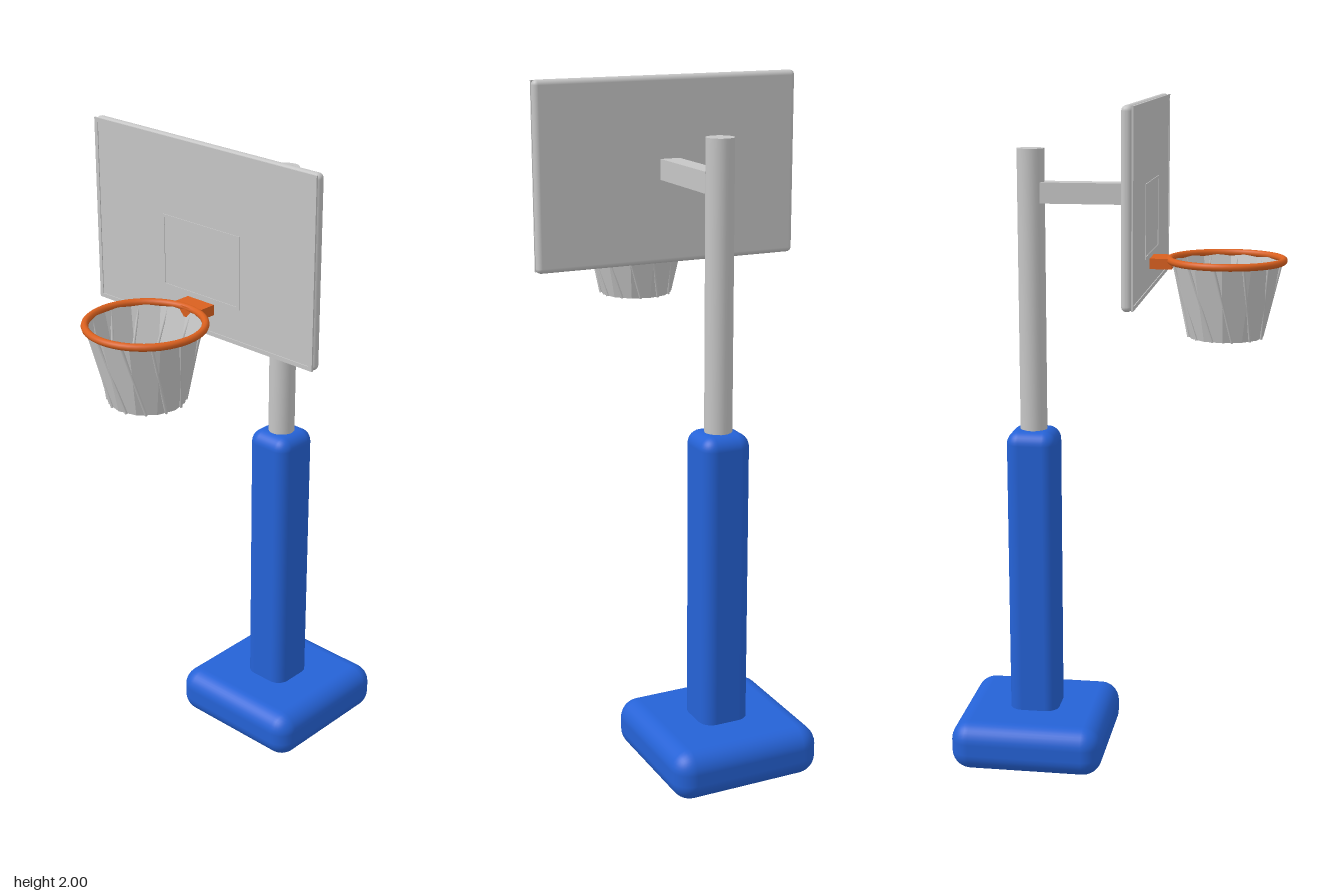
import * as THREE from 'three';
import { RoundedBoxGeometry } from 'three/addons/geometries/RoundedBoxGeometry.js';

function material(name, color, options = {}) {
  return new THREE.MeshStandardMaterial({ name, color, ...options });
}

// Flat rectangular outline of the given line width
function outline(w, h, line, depth) {
  const rect = (T, x, y) => new T([
    new THREE.Vector2(-x, -y), new THREE.Vector2(x, -y),
    new THREE.Vector2(x, y), new THREE.Vector2(-x, y),
  ]);
  const shape = rect(THREE.Shape, w / 2, h / 2);
  shape.holes.push(rect(THREE.Path, w / 2 - line, h / 2 - line));
  return new THREE.ExtrudeGeometry(shape, { depth, bevelEnabled: false });
}

export function createModel() {
  const model = new THREE.Group();
  model.name = 'basketballHoop';
  const blue = material('blue padding', 0x2562d6);
  const grey = material('light grey', 0xc6c6c6);
  const orange = material('orange rim', 0xd9601f);
  const netGrey = material('net grey', 0xc8c8c8, { side: THREE.DoubleSide, flatShading: true });

  const add = (name, geometry, mat, x, y, z, parent = model) => {
    const mesh = new THREE.Mesh(geometry, mat);
    mesh.name = name;
    mesh.position.set(x, y, z);
    parent.add(mesh);
    return mesh;
  };

  // Padded stand and pole
  const poleZ = -0.256;
  add('base', new RoundedBoxGeometry(0.46, 0.15, 0.46, 4, 0.058), blue, 0, 0.084, poleZ);
  add('polePadding', new RoundedBoxGeometry(0.15, 0.95, 0.15, 4, 0.04), blue, 0, 0.56, poleZ);
  add('pole', new THREE.CylinderGeometry(0.04, 0.04, 1.86, 24), grey, 0, 0.93, poleZ);
  add('supportArm', new THREE.BoxGeometry(0.06, 0.06, 0.285), grey, 0, 1.735, -0.0825);

  // Backboard with raised border and target square
  add('backboard', new RoundedBoxGeometry(0.82, 0.54, 0.031, 4, 0.0145), grey, 0, 1.73, 0.08);
  add('boardBorder', outline(0.815, 0.535, 0.012, 0.005), grey, 0, 1.73, 0.093);
  add('targetSquare', outline(0.29, 0.21, 0.008, 0.003), grey, 0, 1.67, 0.0945);

  // Rim and bracket
  const hoop = new THREE.Group();
  hoop.name = 'hoop';
  hoop.position.set(0, 1.55, 0.312);
  model.add(hoop);
  add('rim', new THREE.TorusGeometry(0.163, 0.0105, 10, 48), orange, 0, 0, 0, hoop).rotation.x = Math.PI / 2;
  add('rimBracket', new THREE.BoxGeometry(0.1, 0.03, 0.066), orange, 0, -0.009, -0.186, hoop);

  // Tapered net with slanted cords
  const topR = 0.16, bottomR = 0.108, drop = 0.222, cords = 12, twist = 0.4;
  add('net', new THREE.CylinderGeometry(topR, bottomR, drop, cords, 1, true), netGrey, 0, -drop / 2, 0, hoop);
  for (let i = 0; i < cords; i++) {
    const a = (i / cords) * Math.PI * 2 + 0.15;
    const point = (angle, r, y) => new THREE.Vector3(Math.cos(angle) * r, y, Math.sin(angle) * r);
    const path = new THREE.LineCurve3(point(a, topR, 0), point(a - twist, bottomR, -drop));
    add('netCord', new THREE.TubeGeometry(path, 1, 0.004, 6), grey, 0, 0, 0, hoop);
  }

  return model;
}
